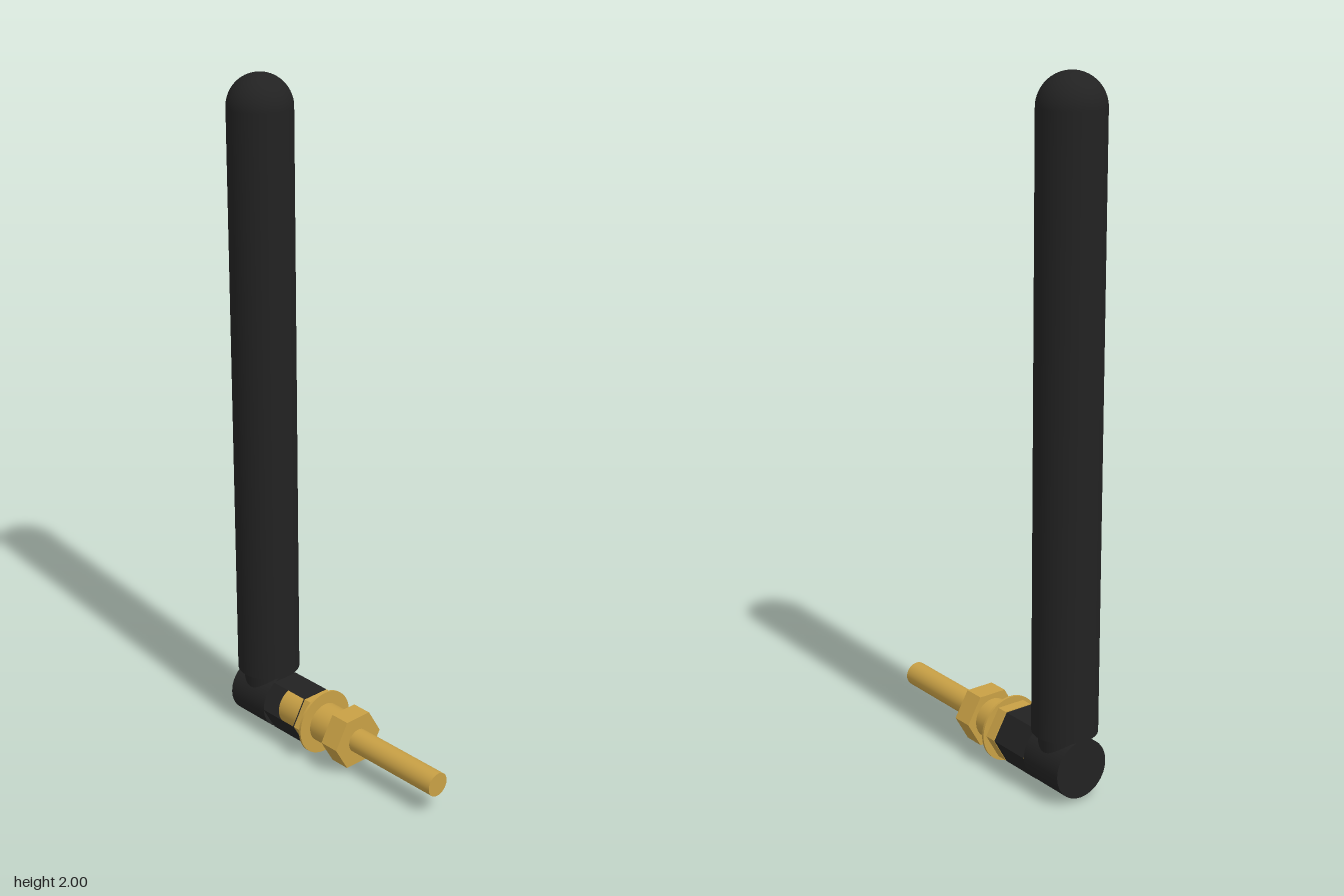
import * as THREE from 'three';

const AXIS_Y = 0.098;  // height of the connector axis
const MAST_Z = -0.315; // depth of the upright rod

export function createModel() {
  const black = new THREE.MeshStandardMaterial({ color: 0x222222 });
  black.name = 'black plastic';
  const brass = new THREE.MeshStandardMaterial({ color: 0xc8a045 });
  brass.name = 'brass';

  const model = new THREE.Group();
  model.name = 'antenna';

  const add = (name, geometry, material, y, z) => {
    const mesh = new THREE.Mesh(geometry, material);
    mesh.name = name;
    mesh.position.set(0, y, z);
    model.add(mesh);
    return mesh;
  };

  // Round part along z
  const round = (name, radius, z0, z1, material) =>
    add(name, new THREE.CylinderGeometry(radius, radius, z1 - z0, 48).rotateX(Math.PI / 2),
      material, AXIS_Y, (z0 + z1) / 2);

  // Hexagonal part along z, corners at the sides and flats above and below
  const hex = (name, radius, z0, z1, material, sides = 6) => {
    const g = new THREE.CylinderGeometry(radius, radius, z1 - z0, sides, 1, sides < 6,
      Math.PI * 1.5, sides * Math.PI / 3).rotateX(Math.PI / 2).toNonIndexed();
    g.computeVertexNormals();
    return add(name, g, material, AXIS_Y, (z0 + z1) / 2);
  };

  // Upright rod with a domed tip
  const r = 0.093, base = 0.19, shoulder = 2 - r;
  add('rod', new THREE.CylinderGeometry(r, r, shoulder - base, 64), black,
    (base + shoulder) / 2, MAST_Z);
  add('rodTip', new THREE.SphereGeometry(r, 64, 20, 0, Math.PI * 2, 0, Math.PI / 2), black,
    shoulder, MAST_Z);

  // Elbow and the short neck that carries the rod
  add('rodNeck', new THREE.CylinderGeometry(0.074, 0.074, 0.09, 48), black, 0.15, MAST_Z);
  round('elbow', 0.086, -0.39, -0.242, black);

  // Hexagonal coupling, open on one upper side, with its front end plate
  hex('coupling', 0.088, -0.242, -0.108, black, 5);
  add('couplingEnd', new THREE.CircleGeometry(0.088, 6), black, AXIS_Y, -0.108);

  // Brass connector
  round('barrel', 0.06, -0.203, 0.03, brass);
  hex('rearNut', 0.088, -0.104, -0.07, brass);
  round('washer', 0.098, -0.07, -0.063, brass);
  hex('frontNut', 0.088, 0.017, 0.08, brass);
  round('pin', 0.036, 0.07, 0.405, brass);

  return model;
}
